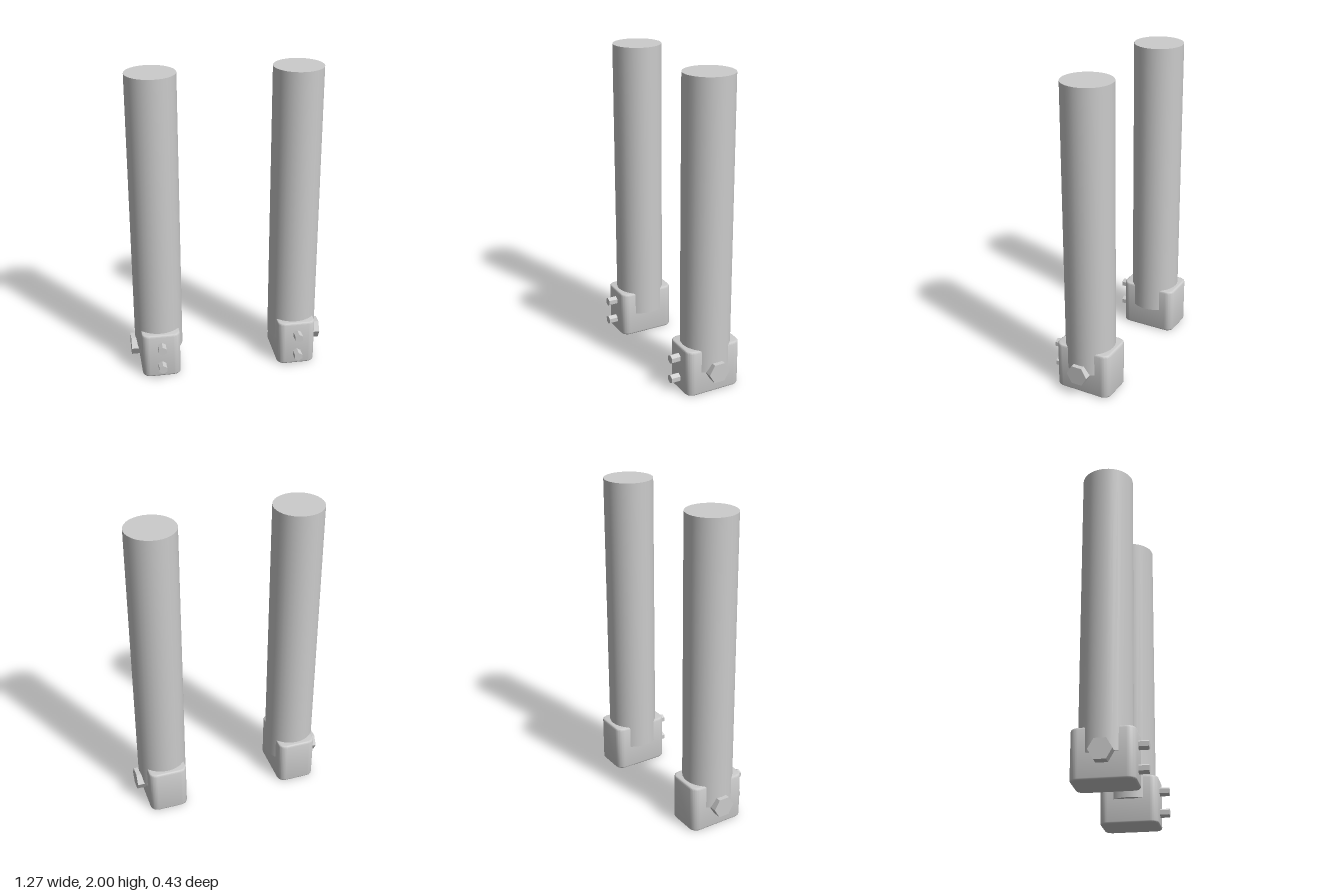
import * as THREE from 'three';
import { toCreasedNormals } from 'three/addons/utils/BufferGeometryUtils.js';

const material = new THREE.MeshStandardMaterial({ color: 0xcccccc });

function addMesh(parent, name, geometry, x, y, z) {
  const mesh = new THREE.Mesh(geometry, material);
  mesh.name = name;
  mesh.position.set(x, y, z);
  parent.add(mesh);
  return mesh;
}

// Block with rounded upright corners and a narrow bevel at top and bottom, standing on y = 0
function socketGeometry(width, height, depth, radius, bevel) {
  const w = width / 2 - bevel, d = depth / 2 - bevel, r = radius - bevel;
  const s = new THREE.Shape();
  s.absarc(w - r, d - r, r, 0, Math.PI / 2);
  s.absarc(-w + r, d - r, r, Math.PI / 2, Math.PI);
  s.absarc(-w + r, -d + r, r, Math.PI, Math.PI * 1.5);
  s.absarc(w - r, -d + r, r, Math.PI * 1.5, Math.PI * 2);
  s.closePath();
  const geometry = new THREE.ExtrudeGeometry(s, {
    depth: height - 2 * bevel, bevelSize: bevel, bevelThickness: bevel, bevelSegments: 3, curveSegments: 8,
  });
  geometry.rotateX(-Math.PI / 2).translate(0, bevel, 0);
  return toCreasedNormals(geometry, 0.6);
}

// Hexagonal bolt along +z with a corner pointing up
function boltGeometry(radius, length) {
  const geometry = new THREE.CylinderGeometry(radius, radius, length, 6);
  geometry.rotateX(Math.PI / 2);
  return toCreasedNormals(geometry, 0.5);
}

// One post in its socket; side is +1 for left, -1 for right
function createPost(side) {
  const post = new THREE.Group();
  post.name = side > 0 ? 'leftPost' : 'rightPost';
  post.position.set(0.45 * side, 0, -0.03);

  addMesh(post, 'pole', new THREE.CylinderGeometry(0.157, 0.157, 1.845, 32), 0, 1.0775, 0);
  addMesh(post, 'socket', socketGeometry(0.25, 0.305, 0.372, 0.05, 0.012), 0, 0, 0);

  // Pair of small bolts on the front
  for (const y of [0.085, 0.225]) {
    addMesh(post, 'frontBolt', boltGeometry(0.029, 0.1), 0, y, 0.197);
  }

  // Large bolt on the outer side, flats at top and bottom
  const sideBolt = boltGeometry(0.07, 0.1).rotateZ(Math.PI / 6).rotateY(side * Math.PI / 2);
  addMesh(post, 'sideBolt', sideBolt, side * 0.135, 0.155, 0);
  return post;
}

export function createModel() {
  const model = new THREE.Group();
  model.name = 'twinPosts';
  for (const side of [1, -1]) model.add(createPost(side));
  return model;
}
